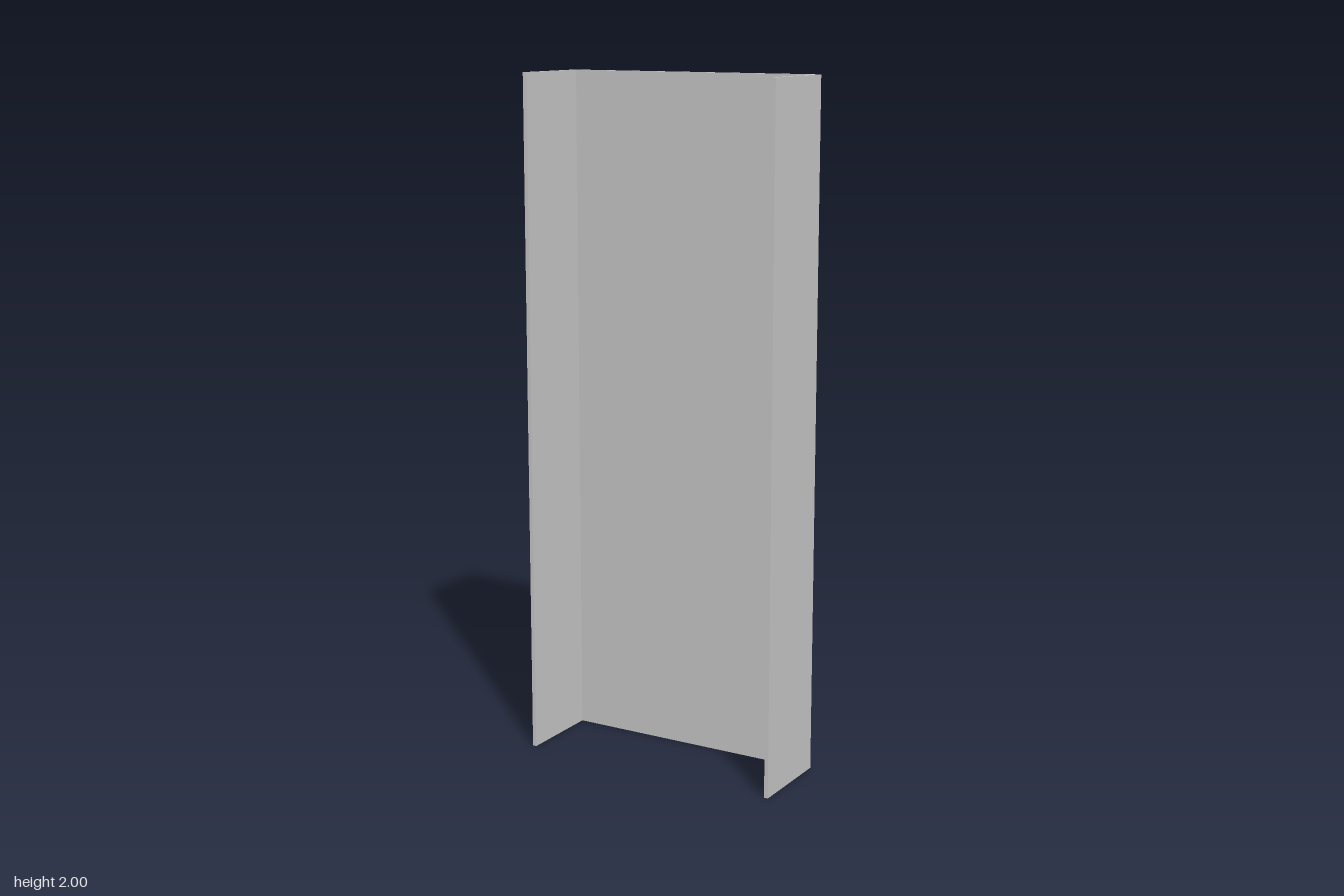
import * as THREE from 'three';

const HEIGHT = 2;
const HALF_WIDTH = 0.4;
const HALF_DEPTH = 0.133;
const WALL = 0.012;

export function createModel() {
  const group = new THREE.Group();
  group.name = 'uChannel';

  // U-shaped cross-section: web at the back, two flanges reaching forward
  const innerX = HALF_WIDTH - WALL;
  const innerY = HALF_DEPTH - WALL;
  const profile = new THREE.Shape([
    [-HALF_WIDTH, -HALF_DEPTH], [-innerX, -HALF_DEPTH],
    [-innerX, innerY], [innerX, innerY],
    [innerX, -HALF_DEPTH], [HALF_WIDTH, -HALF_DEPTH],
    [HALF_WIDTH, HALF_DEPTH], [-HALF_WIDTH, HALF_DEPTH],
  ].map(([x, y]) => new THREE.Vector2(x, y)));

  // Extrude along the height, then stand it upright with the open side to +z
  const geometry = new THREE.ExtrudeGeometry(profile, { depth: HEIGHT, bevelEnabled: false });
  geometry.rotateX(-Math.PI / 2);

  const channel = new THREE.Mesh(geometry, new THREE.MeshStandardMaterial({ color: 0xcccccc }));
  channel.name = 'channelProfile';
  group.add(channel);
  return group;
}
